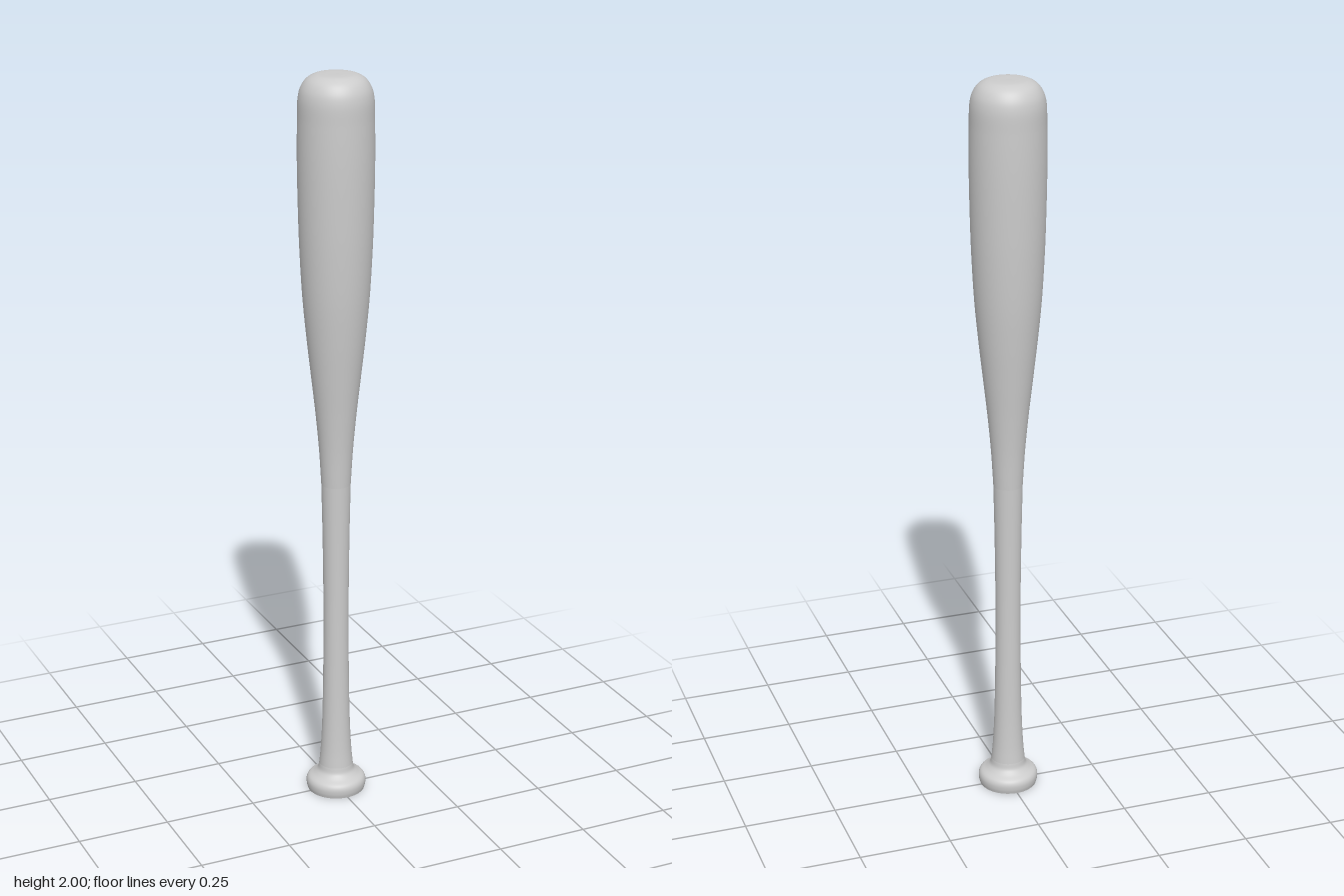
import * as THREE from 'three';

const material = new THREE.MeshStandardMaterial({ color: 0xcccccc });

// Smooth surface of revolution through [radius, height] points
function turned(name, profile, samples) {
  const curve = new THREE.CatmullRomCurve3(
    profile.map(([r, y]) => new THREE.Vector3(r, y, 0)), false, 'centripetal');
  const points = curve.getPoints(samples).map(p => new THREE.Vector2(Math.max(p.x, 0), p.y));
  const mesh = new THREE.Mesh(new THREE.LatheGeometry(points, 64), material);
  mesh.name = name;
  return mesh;
}

export function createModel() {
  const group = new THREE.Group();
  group.name = 'bat';

  // Knob: near-upright rim, rounded shoulder flowing into the handle
  group.add(turned('knob', [
    [0.078, 0], [0.081, 0.012], [0.081, 0.026], [0.076, 0.036],
    [0.06, 0.047], [0.05, 0.058], [0.046, 0.075],
  ], 36));

  // Flat underside of the knob
  const base = new THREE.Mesh(new THREE.CircleGeometry(0.078, 64), material);
  base.name = 'knobBase';
  base.rotation.x = Math.PI / 2;
  group.add(base);

  // Slim handle
  group.add(turned('handle', [
    [0.046, 0.075], [0.042, 0.12], [0.038, 0.2], [0.035, 0.35],
    [0.034, 0.55], [0.036, 0.75], [0.039, 0.9],
  ], 36));

  // Tapering barrel with a rounded, nearly flat end
  group.add(turned('barrel', [
    [0.039, 0.9], [0.045, 1.0], [0.054, 1.1], [0.065, 1.2], [0.077, 1.31],
    [0.087, 1.42], [0.094, 1.55], [0.097, 1.65], [0.099, 1.78], [0.098, 1.88],
    [0.096, 1.94], [0.089, 1.966], [0.075, 1.986], [0.055, 1.997], [0.03, 2], [0, 2],
  ], 150));

  return group;
}
